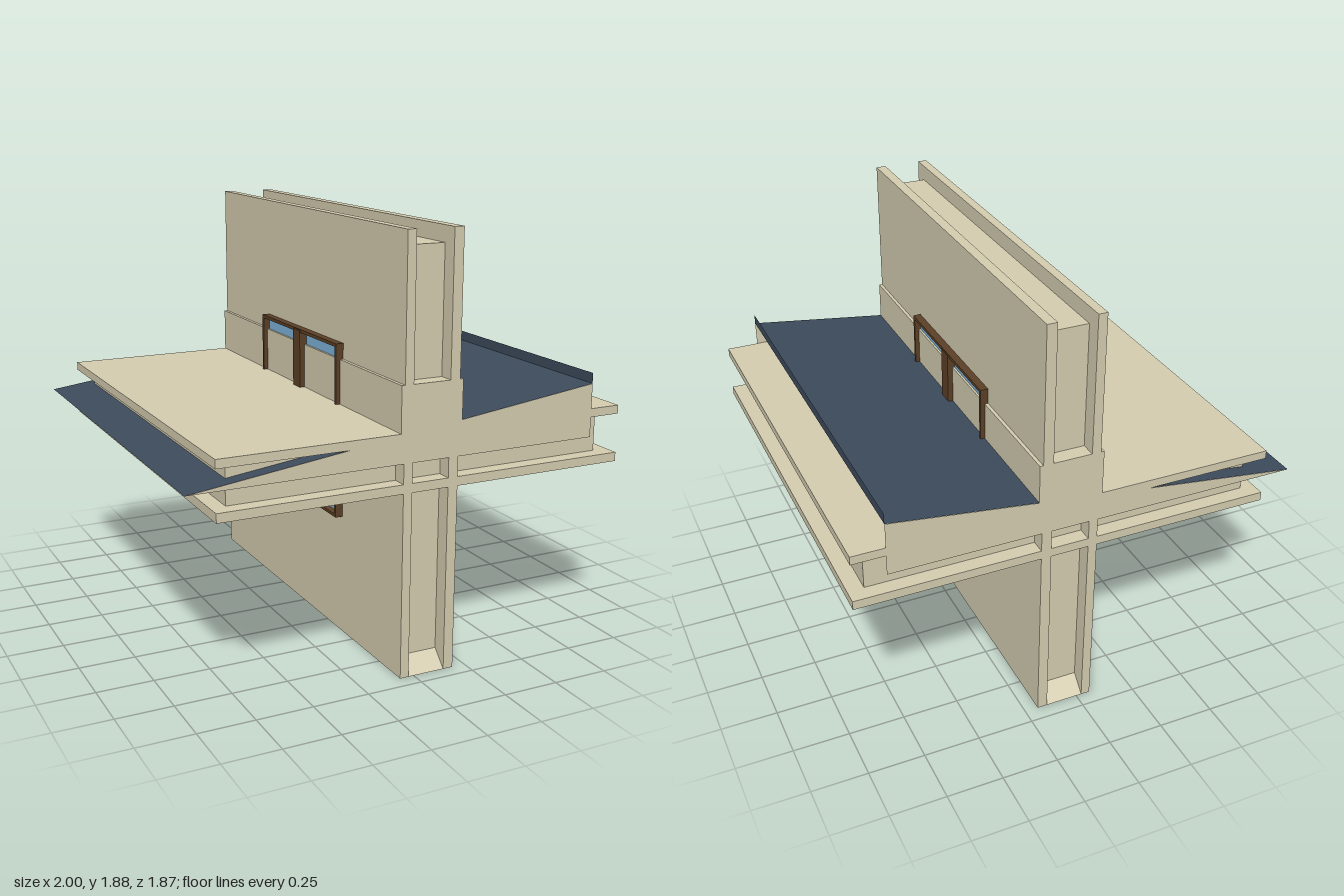
import * as THREE from 'three';

const mat = (color, side = THREE.FrontSide) =>
  new THREE.MeshStandardMaterial({ color, side, flatShading: true });

export function createModel() {
  const group = new THREE.Group();
  const plaster = mat(0xd5cdb0);
  const plasterThin = mat(0xd5cdb0, THREE.DoubleSide);
  const slate = mat(0x3d4b5c, THREE.DoubleSide);
  const timber = mat(0x5c4026);
  const pane = mat(0x7db4dc);
  const Z = 0.935;      // half depth of the whole model
  const MID = 0.0625;   // x of the wall's middle plane

  const add = (name, geometry, material) => {
    const mesh = new THREE.Mesh(geometry, material);
    mesh.name = name;
    group.add(mesh);
    return mesh;
  };
  // Box given by its extents
  const box = (name, x0, x1, y0, y1, z0, z1, material) => {
    const m = add(name, new THREE.BoxGeometry(x1 - x0, y1 - y0, z1 - z0), material);
    m.position.set((x0 + x1) / 2, (y0 + y1) / 2, (z0 + z1) / 2);
    return m;
  };
  const shape = pts => new THREE.Shape(pts.map(p => new THREE.Vector2(...p)));
  // Extrude a (z, y) profile along x, from x0 to x1
  const extrudeX = (name, s, x0, x1, material) => {
    const g = new THREE.ExtrudeGeometry(s, { depth: x1 - x0, bevelEnabled: false });
    g.rotateY(Math.PI / 2); // profile x becomes -z; the profiles are symmetric
    g.translate(x0, 0, 0);
    return add(name, g, material);
  };

  // Upright wall: two skins around a recessed core
  box('wallSkinRight', 0.145, 0.19, 0, 1.88, -Z, Z, plaster);
  box('wallSkinLeft', -0.065, -0.025, 0, 1.88, -Z, Z, plaster);
  extrudeX('wallCore', shape([
    [-0.865, 1.81], [-0.865, 0.07], [-Z, 0], [-0.34, 0], [-0.34, 0.07],
    [0.34, 0.07], [0.34, 0], [Z, 0], [0.865, 0.07], [0.865, 1.81],
  ]), -0.025, 0.145, plaster);

  // Horizontal slab: two plates around a recessed core
  box('slabPlateUpper', -0.875, 1, 1.028, 1.066, -Z, Z, plaster);
  box('slabPlateLower', -0.875, 1, 0.813, 0.853, -Z, Z, plaster);
  box('slabCore', -0.81, 0.93, 0.853, 1.028, -0.868, 0.868, plaster);

  // Block around the crossing
  box('crossingBlock', -0.08, 0.205, 0.94, 1.265, -Z, Z, plaster);

  // Sloping roof sheet with an upstand along its high edge, open below
  const low = [-1, 0.94], high = [0.855, 1.177];
  const run = high[0] - low[0], rise = high[1] - low[1];
  const roof = add('roofSheet', new THREE.PlaneGeometry(Math.hypot(run, rise), 2 * Z), slate);
  roof.geometry.rotateX(-Math.PI / 2);
  roof.rotation.z = Math.atan2(rise, run);
  roof.position.set((low[0] + high[0]) / 2, (low[1] + high[1]) / 2, 0);

  const upstand = add('roofUpstand', new THREE.PlaneGeometry(2 * Z, 0.046), slate);
  upstand.rotation.y = Math.PI / 2;
  upstand.position.set(high[0], high[1] + 0.023, 0);

  // Gable ends under the roof
  for (const s of [1, -1]) {
    const gable = add(s > 0 ? 'gableFront' : 'gableBack',
      new THREE.ShapeGeometry(shape([low, [high[0], low[1]], high])), plasterThin);
    gable.position.z = s * (Z + 0.001);
  }

  // Window unit running through the wall
  const frame = shape([[-0.395, 0.548], [0.395, 0.548], [0.395, 1.335], [-0.395, 1.335]]);
  frame.holes.push(new THREE.Path([
    [-0.38, 0.562], [-0.38, 1.32], [0.38, 1.32], [0.38, 0.562],
  ].map(p => new THREE.Vector2(...p))));
  extrudeX('windowFrame', frame, MID - 0.162, MID + 0.162, timber);
  box('windowMullion', MID - 0.166, MID + 0.166, 0.555, 1.33, -0.036, 0.036, timber);
  for (const s of [1, -1]) {
    const glass = box('windowPane', MID - 0.133, MID + 0.133, 0.562, 1.32, 0.036, 0.38, pane);
    glass.position.z *= s;
  }

  return group;
}
